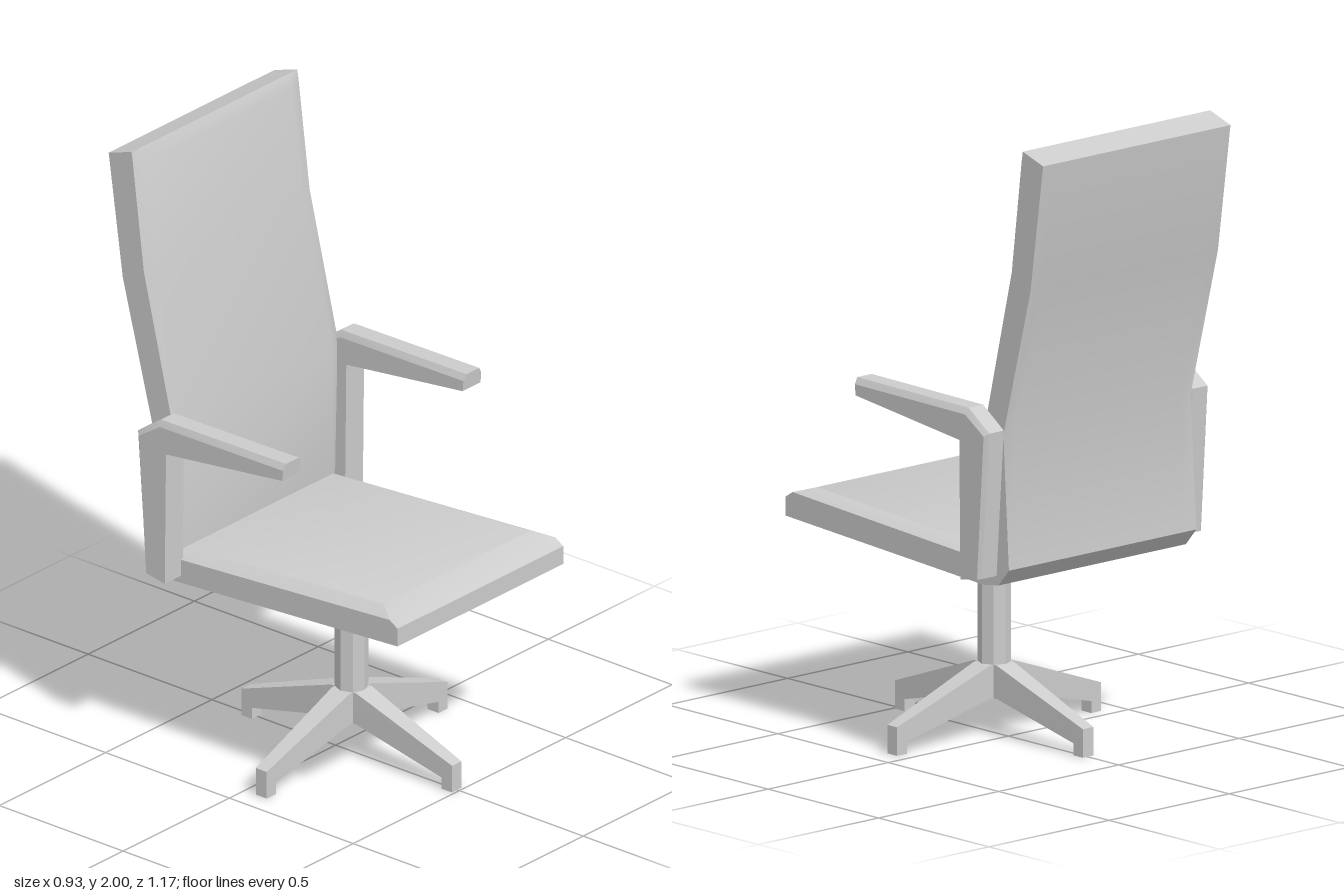
import * as THREE from 'three';
import { toCreasedNormals } from 'three/addons/utils/BufferGeometryUtils.js';

const material = new THREE.MeshStandardMaterial({ color: 0xcccccc });

// Joins side profiles (counter-clockwise [z, y] points) placed at increasing x.
// Each slice is [x, profile]; x may be a function of z for tapered parts.
function loftAcross(slices, crease) {
  const n = slices[0][1].length;
  const positions = [];
  const indices = [];
  for (const [x, profile] of slices) {
    for (const [z, y] of profile) positions.push(typeof x === 'function' ? x(z) : x, y, z);
  }
  for (let s = 0; s < slices.length - 1; s++) {
    for (let i = 0; i < n; i++) {
      const j = (i + 1) % n;
      const a = s * n + i, b = s * n + j, c = b + n, d = a + n;
      indices.push(a, c, b, a, d, c);
    }
  }
  // End caps
  const cap = (s, flip) => {
    const contour = slices[s][1].map(([z, y]) => new THREE.Vector2(z, y));
    for (const [a, b, c] of THREE.ShapeUtils.triangulateShape(contour, [])) {
      const o = s * n;
      if (flip) indices.push(o + a, o + c, o + b);
      else indices.push(o + a, o + b, o + c);
    }
  };
  cap(0, false);
  cap(slices.length - 1, true);
  const geometry = new THREE.BufferGeometry();
  geometry.setAttribute('position', new THREE.Float32BufferAttribute(positions, 3));
  geometry.setIndex(indices);
  return toCreasedNormals(geometry, crease);
}

function part(name, geometry) {
  const mesh = new THREE.Mesh(geometry, material);
  mesh.name = name;
  return mesh;
}

export function createModel() {
  const chair = new THREE.Group();
  chair.name = 'officeChair';

  // Seat and backrest: one bent shell with a slightly raised cushion
  const front = [[0.585, 0.655], [0.585, 0.715]];
  const rear = [
    [-0.49, 2.0], [-0.582, 1.97], [-0.525, 1.565], [-0.402, 1.09],
    [-0.427, 0.665], [-0.38, 0.61], [-0.31, 0.6],
  ];
  const edge = [...front,
    [0.553, 0.735], [-0.335, 0.676], [-0.325, 1.13], [-0.44, 1.61], [-0.485, 1.97], ...rear];
  const raised = [...front,
    [0.49, 0.755], [-0.308, 0.702], [-0.31, 1.13], [-0.426, 1.6], [-0.472, 1.96], ...rear];
  chair.add(part('seatAndBackrest', loftAcross(
    [[-0.39, edge], [-0.345, raised], [0.345, raised], [0.39, edge]], 0.62)));

  // Armrests: angled profile with chamfered top edges
  const armFull = [
    [0.185, 1.12], [0.19, 1.175], [-0.315, 1.17], [-0.408, 1.105],
    [-0.375, 0.64], [-0.29, 0.625], [-0.285, 1.065],
  ];
  const armSide = [
    [0.185, 1.12], [0.188, 1.155], [-0.31, 1.15], [-0.395, 1.095],
    [-0.365, 0.638], [-0.29, 0.625], [-0.285, 1.065],
  ];
  const armGeometry = loftAcross(
    [[-0.042, armSide], [-0.03, armFull], [0.03, armFull], [0.042, armSide]], 0.4);
  for (const side of [-1, 1]) {
    const arm = part(side > 0 ? 'leftArmrest' : 'rightArmrest', armGeometry);
    arm.position.x = side * 0.424;
    chair.add(arm);
  }

  // Base: eight-sided post and four tapered legs with small feet
  const base = new THREE.Group();
  base.name = 'base';
  base.position.set(-0.003, 0, 0.067);
  const postGeometry = toCreasedNormals(new THREE.CylinderGeometry(0.052, 0.052, 0.52, 8), 0.4);
  const post = part('post', postGeometry);
  post.position.y = 0.38;
  base.add(post);

  const legProfile = [
    [0.383, 0], [0.425, 0], [0.425, 0.09], [0.05, 0.225],
    [0, 0.225], [0, 0.12], [0.05, 0.12], [0.383, 0.038],
  ];
  const halfWidth = (r) => 0.038 - 0.016 * Math.min(r / 0.4, 1);
  const legGeometry = loftAcross(
    [[(r) => -halfWidth(r), legProfile], [halfWidth, legProfile]], 0.3);
  for (let i = 0; i < 4; i++) {
    const leg = part('leg', legGeometry);
    leg.rotation.y = (i * Math.PI) / 2;
    base.add(leg);
  }
  chair.add(base);

  return chair;
}
